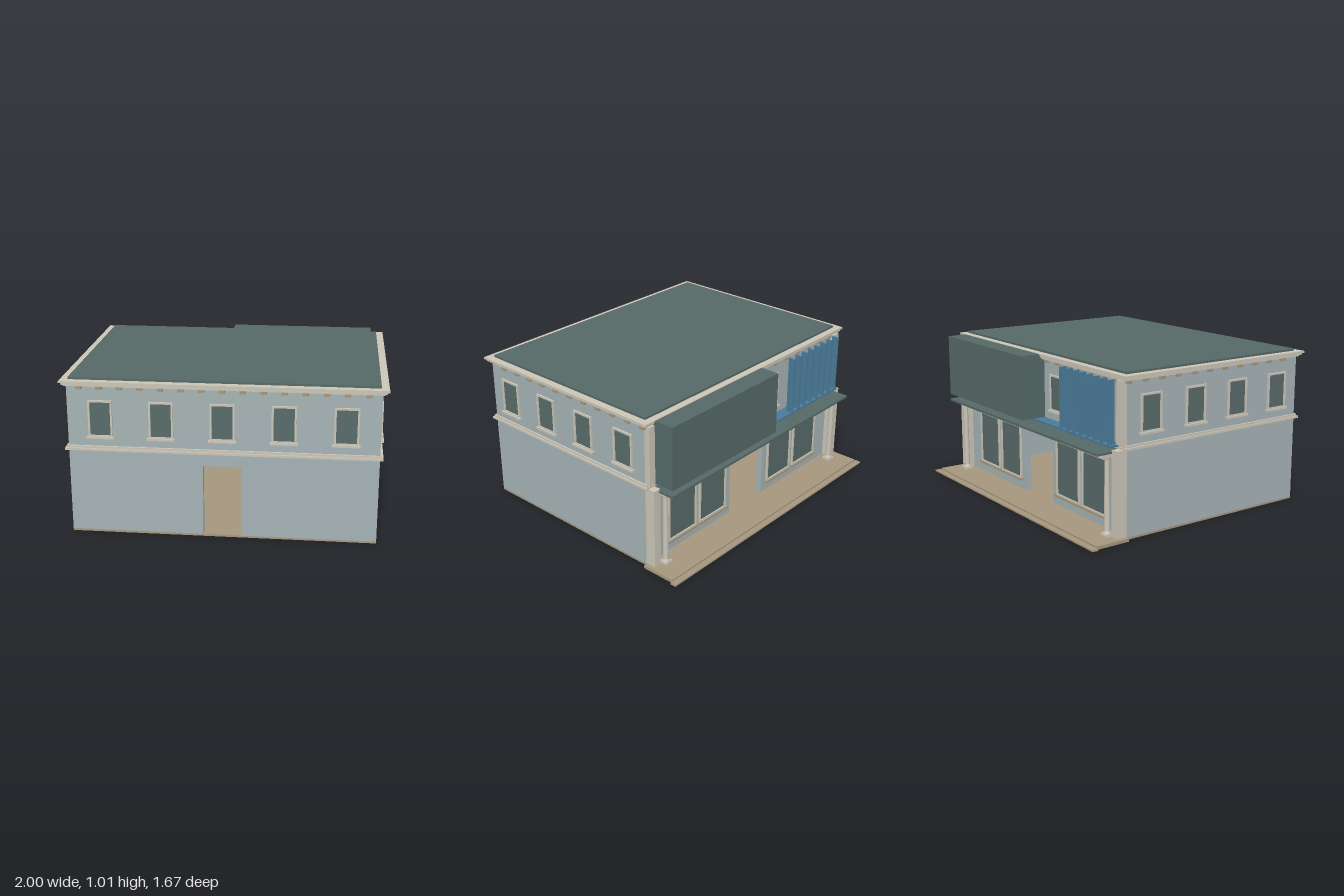
import * as THREE from 'three';

const mat = (name, color) => {
  const m = new THREE.MeshStandardMaterial({ color });
  m.name = name;
  return m;
};

export function createModel() {
  const house = new THREE.Group();
  house.name = 'house';
  const wall = mat('wall blue grey', 0xa5b2b4);
  const cream = mat('cream trim', 0xcbc5b7);
  const tan = mat('tan stone', 0xa5977d);
  const slate = mat('slate green', 0x566967);
  const glass = mat('window glass', 0x586b69);
  const blue = mat('blue metal', 0x4a7b99);

  // Box given by its lower and upper limits on each axis
  const box = (name, m, x0, x1, y0, y1, z0, z1, parent = house) => {
    const mesh = new THREE.Mesh(new THREE.BoxGeometry(x1 - x0, y1 - y0, z1 - z0), m);
    mesh.position.set((x0 + x1) / 2, (y0 + y1) / 2, (z0 + z1) / 2);
    mesh.name = name;
    parent.add(mesh);
    return mesh;
  };

  // Framed window facing +z in its own group, turned to suit the wall
  const addWindow = (x, y, z, w, h, turn, sillMat = cream) => {
    const g = new THREE.Group();
    g.name = 'window';
    const t = 0.012, a = w / 2, b = h / 2;
    box('glass', glass, -a + t, a - t, -b + t, b - t, -0.004, 0.004, g);
    for (const s of [-1, 1]) {
      box('frameSide', cream, s * (a - t / 2) - t / 2, s * (a - t / 2) + t / 2, -b, b, -0.005, 0.012, g);
      box('frameRail', cream, -a + t, a - t, s * (b - t / 2) - t / 2, s * (b - t / 2) + t / 2, -0.005, 0.012, g);
    }
    box('sill', sillMat, -a - 0.01, a + 0.01, -b - 0.009, -b + 0.004, -0.005, 0.022, g);
    g.position.set(x, y, z);
    g.rotation.y = turn;
    house.add(g);
  };

  // Floor and rear terrace with its step
  box('floor', tan, -0.955, 0.955, 0, 0.014, -0.57, 0.8);
  box('terrace', tan, -0.985, 0.985, 0, 0.02, -0.8, -0.57);
  box('terraceStep', tan, -1, 1, 0, 0.01, -0.84, -0.8);

  // Ground floor: front wall with doorway, side walls, rear walls
  const shape = new THREE.Shape();
  [[-0.955, 0.012], [-0.12, 0.012], [-0.12, 0.47], [0.12, 0.47], [0.12, 0.012], [0.955, 0.012], [0.955, 0.555], [-0.955, 0.555]]
    .forEach(([x, y], i) => (i ? shape.lineTo(x, y) : shape.moveTo(x, y)));
  const front = new THREE.Mesh(new THREE.ExtrudeGeometry(shape, { depth: 0.04, bevelEnabled: false }), wall);
  front.position.z = 0.76;
  front.name = 'frontWall';
  house.add(front);
  for (const s of [-1, 1]) {
    box('sideWall', wall, s * 0.935 - 0.02, s * 0.935 + 0.02, 0.012, 0.555, -0.57, 0.76);
    box('rearWall', wall, s * 0.5425 - 0.3725, s * 0.5425 + 0.3725, 0.012, 0.53, -0.57, -0.53);
    for (const x of [0.35, 0.64]) addWindow(s * x, 0.275, -0.57, 0.26, 0.37, Math.PI, tan);
  }
  box('rearTransom', slate, -0.17, 0.17, 0.445, 0.53, -0.565, -0.535);
  box('ceiling', cream, -0.915, 0.915, 0.51, 0.53, -0.53, 0.76);

  // Upper floor and belt course
  box('upperWalls', wall, -0.955, 0.955, 0.53, 0.966, -0.57, 0.8);
  box('beltLower', cream, -0.975, 0.975, 0.552, 0.566, -0.59, 0.822);
  box('beltUpper', cream, -0.966, 0.966, 0.566, 0.58, -0.585, 0.812);

  // Upper windows
  for (let i = -2; i <= 2; i++) addWindow(i * 0.375, 0.757, 0.8, 0.15, 0.235, 0);
  for (const s of [-1, 1])
    for (const z of [0.627, 0.287, -0.05, -0.39]) addWindow(s * 0.955, 0.757, z, 0.155, 0.235, s * Math.PI / 2);
  for (const x of [-0.23, -0.6]) addWindow(x, 0.757, -0.57, 0.155, 0.235, Math.PI);

  // Cornice, brackets and roof
  box('corniceBed', cream, -0.968, 0.968, 0.962, 0.974, -0.59, 0.813);
  box('corniceMiddle', cream, -0.98, 0.98, 0.972, 0.986, -0.6, 0.825);
  box('corniceTop', cream, -0.993, 0.993, 0.985, 0.998, -0.608, 0.835);
  box('roof', slate, -0.945, 0.945, 0.998, 1.012, -0.562, 0.787);
  for (let i = 0; i < 15; i++) {
    const x = -0.875 + i * 0.125;
    box('bracket', tan, x - 0.018, x + 0.018, 0.946, 0.964, 0.8, 0.82);
    if (x < -0.1) box('bracket', tan, x - 0.018, x + 0.018, 0.946, 0.964, -0.59, -0.57);
  }
  for (let i = 0; i < 11; i++) {
    const z = 0.67 - i * 0.123;
    if (z > -0.57)
      for (const s of [-1, 1]) box('bracket', tan, s * 0.964 - 0.01, s * 0.964 + 0.01, 0.946, 0.964, z - 0.018, z + 0.018);
  }

  // Rear corner pilasters and porch columns
  for (const s of [-1, 1]) {
    box('lowerPilaster', cream, s * 0.93 - 0.026, s * 0.93 + 0.026, 0.015, 0.553, -0.636, -0.565);
    box('upperPilaster', cream, s * 0.93 - 0.026, s * 0.93 + 0.026, 0.58, 0.964, -0.604, -0.565);
    const col = new THREE.Group();
    col.name = 'porchColumn';
    box('columnBase', cream, -0.028, 0.028, 0.02, 0.036, -0.028, 0.028, col);
    box('columnCap', cream, -0.03, 0.03, 0.508, 0.53, -0.03, 0.03, col);
    const profile = [[0.026, 0.036], [0.024, 0.048], [0.018, 0.055], [0.016, 0.485], [0.025, 0.508]];
    const shaft = new THREE.Mesh(
      new THREE.LatheGeometry(profile.map(([r, y]) => new THREE.Vector2(r, y)), 16), cream);
    shaft.name = 'columnShaft';
    col.add(shaft);
    col.position.set(s * 0.87, 0, -0.645);
    house.add(col);
  }

  // Porch canopy, its beam, and the projecting bay
  box('canopy', slate, -0.905, 0.915, 0.53, 0.545, -0.742, -0.565);
  box('canopyBeam', blue, -0.84, 0.84, 0.5, 0.53, -0.65, -0.63);
  box('projectingBay', slate, -0.08, 0.91, 0.58, 0.995, -0.74, -0.565);

  // Upright sun fins on a ledge
  box('finLedge', blue, -0.905, 0.9, 0.566, 0.58, -0.652, -0.565);
  for (let i = 0; i < 8; i++) {
    const x = -0.883 + i * 0.0715;
    box('sunFin', blue, x - 0.006, x + 0.006, 0.58, 0.964, -0.652, -0.605);
  }
  return house;
}
